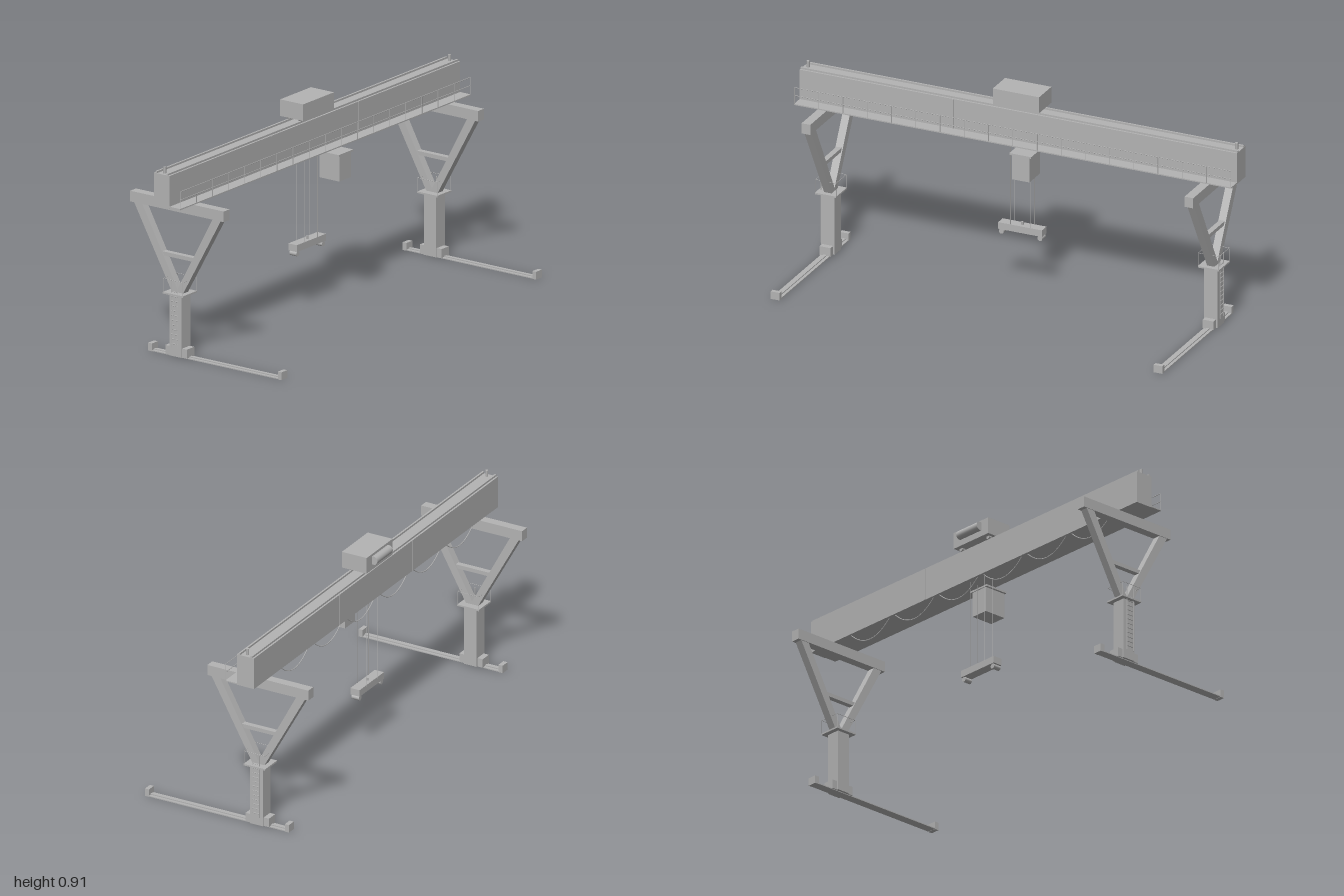
import * as THREE from 'three';

const grey = new THREE.MeshStandardMaterial({ color: 0xb3b3b3 });
grey.name = 'painted steel grey';

const ZC = -0.148; // centre line of girder and columns

function add(parent, name, geometry) {
  const m = new THREE.Mesh(geometry, grey);
  m.name = name;
  parent.add(m);
  return m;
}

// Box given by its minimum and maximum on each axis
function box(parent, name, x0, x1, y0, y1, z0, z1) {
  const m = add(parent, name, new THREE.BoxGeometry(x1 - x0, y1 - y0, Math.abs(z1 - z0)));
  m.position.set((x0 + x1) / 2, (y0 + y1) / 2, (z0 + z1) / 2);
  return m;
}

// Thin round bar between two points
function rod(parent, name, a, b, r = 0.0015) {
  const p = new THREE.Vector3(...a), q = new THREE.Vector3(...b);
  const d = q.clone().sub(p);
  const m = add(parent, name, new THREE.CylinderGeometry(r, r, d.length(), 6));
  m.position.copy(p).add(q).multiplyScalar(0.5);
  m.quaternion.setFromUnitVectors(new THREE.Vector3(0, 1, 0), d.normalize());
  return m;
}

// Outline in the z-y plane given thickness along x
function sidePlate(parent, name, points, width) {
  const shape = new THREE.Shape(points.map(([z, y]) => new THREE.Vector2(z, y)));
  const g = new THREE.ExtrudeGeometry(shape, { depth: width, bevelEnabled: false });
  g.translate(0, 0, -width / 2).rotateY(-Math.PI / 2);
  return add(parent, name, g);
}

// One supporting leg; out is +1 or -1, the side the ladder faces
function makeLeg(out) {
  const leg = new THREE.Group();
  leg.name = out > 0 ? 'leftLeg' : 'rightLeg';
  box(leg, 'crossBeam', -0.02, 0.02, 0.629, 0.675, -0.39, 0.094);
  for (const s of [1, -1]) {
    sidePlate(leg, 'slantedArm', [
      [ZC + s * 0.225, 0.63], [ZC + s * 0.183, 0.63],
      [ZC, 0.292], [ZC, 0.276], [ZC + s * 0.028, 0.276],
    ], 0.034);
  }
  box(leg, 'armBrace', -0.012, 0.012, 0.424, 0.441, ZC - 0.084, ZC + 0.084);
  // Column, foot and platform
  box(leg, 'column', -0.031, 0.031, 0.004, 0.273, ZC - 0.031, ZC + 0.031);
  box(leg, 'foot', -0.025, 0.025, 0.004, 0.043, ZC - 0.056, ZC + 0.056);
  box(leg, 'platform', -0.049, 0.049, 0.272, 0.279, ZC - 0.052, ZC + 0.052);
  for (const s of [1, -1]) {
    rod(leg, 'platformRail', [s * 0.047, 0.338, ZC - 0.05], [s * 0.047, 0.338, ZC + 0.05], 0.001);
    rod(leg, 'platformRail', [-0.047, 0.338, ZC + s * 0.05], [0.047, 0.338, ZC + s * 0.05], 0.001);
    for (const t of [1, -1]) {
      rod(leg, 'platformPost', [s * 0.047, 0.278, ZC + t * 0.05], [s * 0.047, 0.338, ZC + t * 0.05], 0.001);
    }
  }
  // Ladder on the outer face
  const lx = out * 0.037;
  for (const s of [1, -1]) {
    rod(leg, 'ladderStile', [lx, 0.043, ZC + s * 0.017], [lx, 0.33, ZC + s * 0.017], 0.002);
  }
  for (let i = 0; i < 12; i++) {
    const y = 0.06 + i * 0.0205;
    rod(leg, 'ladderRung', [lx, y, ZC - 0.017], [lx, y, ZC + 0.017], 0.0018);
  }
  // Ground track with end stops
  box(leg, 'trackBase', -0.02, 0.02, 0.001, 0.005, -0.28, 0.376);
  box(leg, 'trackRail', -0.007, 0.007, 0.005, 0.009, -0.28, 0.376);
  box(leg, 'trackStop', -0.02, 0.02, 0, 0.034, 0.374, 0.393);
  box(leg, 'trackStop', -0.02, 0.02, 0, 0.034, -0.297, -0.277);
  leg.position.x = out * 0.876;
  return leg;
}

function makeGirder() {
  const g = new THREE.Group();
  g.name = 'girder';
  box(g, 'mainBeam', -1, 1, 0.677, 0.817, -0.19, -0.108);
  for (const z of [-0.12, -0.178]) box(g, 'trolleyRail', -1, 1, 0.817, 0.825, z - 0.004, z + 0.004);
  for (const x of [-0.3, 0.3]) {
    box(g, 'spliceStrip', x - 0.003, x + 0.003, 0.678, 0.816, -0.192, -0.106);
  }
  for (const s of [-1, 1]) rod(g, 'endBuffer', [s * 0.98, 0.815, ZC], [s * 0.98, 0.845, ZC], 0.007);
  return g;
}

function makeWalkway() {
  const g = new THREE.Group();
  g.name = 'walkway';
  box(g, 'walkwayFloor', -1, 1, 0.679, 0.684, -0.108, -0.053);
  for (const y of [0.722, 0.758]) rod(g, 'handRail', [-0.998, y, -0.054], [0.998, y, -0.054]);
  const n = 18;
  for (let i = 0; i <= n; i++) {
    const x = -0.998 + (1.996 * i) / n;
    rod(g, 'railPost', [x, 0.682, -0.054], [x, 0.758, -0.054]);
  }
  return g;
}

function makeTrolley() {
  const g = new THREE.Group();
  g.name = 'trolley';
  box(g, 'trolleyHousing', -0.107, 0.105, 0.837, 0.909, -0.207, -0.088);
  rod(g, 'hoistDrum', [-0.065, 0.881, -0.214], [0.062, 0.881, -0.214], 0.019).geometry =
    new THREE.CylinderGeometry(0.019, 0.019, 0.127, 24);
  for (const x of [-0.082, 0.082]) {
    for (const z of [-0.12, -0.178]) {
      rod(g, 'trolleyWheel', [x, 0.834, z - 0.009], [x, 0.834, z + 0.009], 0.009).geometry =
        new THREE.CylinderGeometry(0.009, 0.009, 0.018, 16);
    }
  }
  return g;
}

function makeHoist() {
  const g = new THREE.Group();
  g.name = 'hoist';
  for (const x of [-0.045, 0.045]) {
    for (const z of [-0.128, -0.17]) rod(g, 'hoistRope', [x, 0.285, z], [x, 0.68, z], 0.0013);
  }
  box(g, 'spreaderBar', -0.1, 0.1, 0.26, 0.29, -0.17, -0.126);
  rod(g, 'spreaderLug', [0, 0.288, ZC], [0, 0.302, ZC], 0.006);
  for (const x of [-0.088, 0.088]) {
    rod(g, 'spreaderRoller', [x, 0.249, -0.166], [x, 0.249, -0.13], 0.011).geometry =
      new THREE.CylinderGeometry(0.011, 0.011, 0.036, 16);
  }
  return g;
}

export function createModel() {
  const model = new THREE.Group();
  model.name = 'gantryCrane';
  model.add(makeLeg(1), makeLeg(-1), makeGirder(), makeWalkway(), makeTrolley(), makeHoist());

  // Operator cabin under the walkway
  const cabin = new THREE.Group();
  cabin.name = 'cabin';
  box(cabin, 'cabinBody', 0.023, 0.103, 0.559, 0.67, -0.102, 0.002);
  box(cabin, 'cabinRoof', 0.013, 0.113, 0.669, 0.677, -0.106, 0.006);
  model.add(cabin);

  // Power cable hanging in loops below the girder
  for (let i = 0; i < 6; i++) {
    const cx = -0.705 + i * 0.2705;
    const pts = [];
    for (let k = -4; k <= 4; k++) {
      const t = k / 4;
      pts.push(new THREE.Vector3(cx + t * 0.118, 0.622 + 0.056 * t * t, -0.178));
    }
    add(model, 'powerCable', new THREE.TubeGeometry(new THREE.CatmullRomCurve3(pts), 24, 0.002, 6));
  }
  return model;
}
